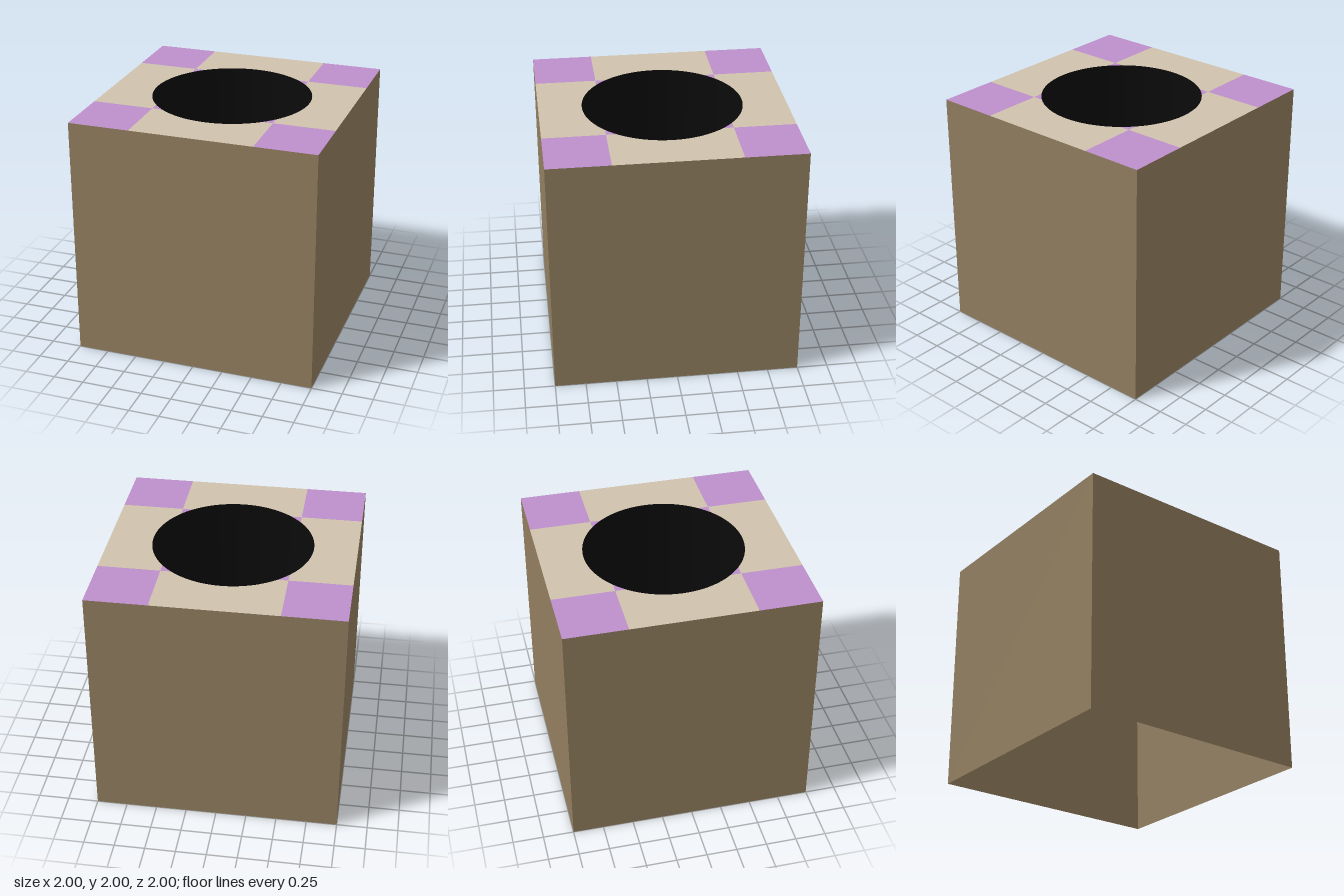
import * as THREE from 'three';

const R = 0.65;                      // well radius
const A = Math.asin(0.5 / R);        // angle where the rim crosses the tile line
const C = Math.cos(A) * R;

const flat = (name, color) =>
  new THREE.MeshStandardMaterial({ name, color, side: THREE.DoubleSide });

export function createModel() {
  const brown = flat('earthBrown', 0x917e5f);
  const beige = flat('tileBeige', 0xcfc3ae);
  const purple = flat('tilePurple', 0xbd8eca);
  const black = flat('wellBlack', 0x0a0a0a);

  const model = new THREE.Group();
  model.name = 'blockWithWell';

  const add = (parent, name, geometry, material) => {
    const mesh = new THREE.Mesh(geometry, material);
    mesh.name = name;
    parent.add(mesh);
    return mesh;
  };
  // Lays a flat shape face up at height y
  const lay = (shape, y) =>
    new THREE.ShapeGeometry(shape, 24).rotateX(-Math.PI / 2).translate(0, y, 0);
  const polygon = (points) => new THREE.Shape(points.map(([x, y]) => new THREE.Vector2(x, y)));

  // Top tiles, one quarter each: corner, edge and the sliver beside the rim
  const corner = lay(polygon([[0.5, 0.5], [1, 0.5], [1, 1], [0.5, 1]]), 2);
  const edgeShape = polygon([[0.5, 0.5], [0.5, 1], [-0.5, 1], [-0.5, 0.5], [-C, 0.5]]);
  edgeShape.absarc(0, 0, R, Math.PI - A, A, true);
  const edge = lay(edgeShape, 2);
  const sliverShape = polygon([[C, 0.5], [0.5, 0.5], [0.5, C]]);
  sliverShape.absarc(0, 0, R, Math.PI / 2 - A, A, false);
  const sliver = lay(sliverShape, 2);

  // Wall panel; the block is hollow and open below
  const wall = new THREE.PlaneGeometry(2, 2).translate(0, 1, 1);

  for (let i = 0; i < 4; i++) {
    const side = new THREE.Group();
    side.name = 'side' + (i + 1);
    side.rotation.y = i * Math.PI / 2;
    add(side, 'wall', wall, brown);
    add(side, 'cornerTile', corner, purple);
    add(side, 'edgeTile', edge, beige);
    add(side, 'rimSliver', sliver, purple);
    model.add(side);
  }

  // Round well sunk to half height
  add(model, 'wellWall', new THREE.CylinderGeometry(R, R, 1, 64, 1, true).translate(0, 1.5, 0), black);
  add(model, 'wellFloor', new THREE.CircleGeometry(R, 64).rotateX(-Math.PI / 2).translate(0, 1, 0), black);

  return model;
}
